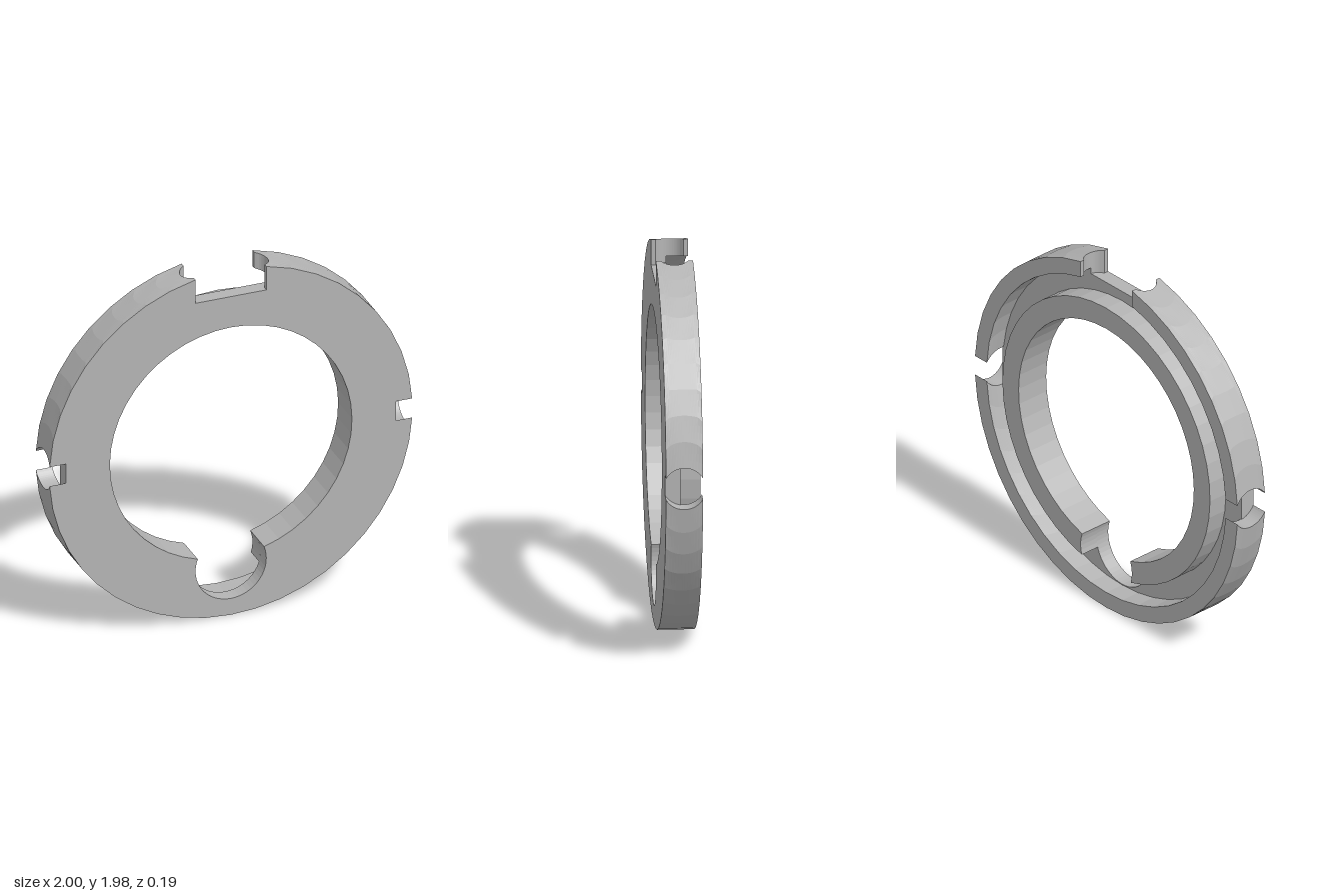
import * as THREE from 'three';

const R = 1, GROOVE_OUT = 0.91, GROOVE_IN = 0.79, BORE = 0.667;
const BACK = -0.095, FLOOR = 0.015, FRONT = 0.095;
const POCKET_Y = -0.71, POCKET_R = 0.195; // round pocket below the bore

// Half height of the drilled side notch and half width of the scalloped top notch at depth z
const sideHalf = z => Math.sqrt(0.11 ** 2 - z * z);
const topHalf = z => Math.max(0.195, 0.165 + Math.sqrt(Math.max(0, 0.075 ** 2 - z * z)));

// Points along an arc, centred on x = 0
function arc(r, a0, a1, n, cy = 0) {
  const pts = [];
  for (let i = 0; i <= n; i++) {
    const a = a0 + (a1 - a0) * i / n;
    pts.push(new THREE.Vector2(r * Math.cos(a), cy + r * Math.sin(a)));
  }
  return pts;
}
const mirrorX = pts => pts.map(p => new THREE.Vector2(-p.x, p.y)).reverse();

// Where a circle about the centre meets the pocket: angles on both circles
function meet(r) {
  const y = (POCKET_R ** 2 - r * r - POCKET_Y ** 2) / (-2 * POCKET_Y);
  const x = Math.sqrt(r * r - y * y);
  return { ring: Math.atan2(y, x), pocket: Math.atan2(y - POCKET_Y, x) };
}

// Solid whose outline may change with z; the outer loop is counterclockwise, the hole clockwise
function loft(outline, hole, z0, z1, steps, frontCap) {
  const pos = [];
  const tri = (...ps) => ps.forEach(([p, z]) => pos.push(p.x, p.y, z));
  for (const loop of hole ? [outline, hole] : [outline]) {
    for (let k = 0; k < steps; k++) {
      const za = z0 + (z1 - z0) * k / steps, zb = z0 + (z1 - z0) * (k + 1) / steps;
      const A = loop(za), B = loop(zb);
      A.forEach((p, i) => {
        const j = (i + 1) % A.length;
        tri([p, za], [A[j], za], [B[j], zb]);
        tri([p, za], [B[j], zb], [B[i], zb]);
      });
    }
  }
  const cap = (z, front) => {
    const o = outline(z), h = hole ? [hole(z)] : [];
    const all = [...o, ...h.flat()];
    for (const [a, b, c] of THREE.ShapeUtils.triangulateShape(o, h)) {
      const A = all[a], B = all[b], C = all[c];
      const ccw = (B.x - A.x) * (C.y - A.y) - (B.y - A.y) * (C.x - A.x) > 0;
      if (ccw === front) tri([A, z], [B, z], [C, z]);
      else tri([A, z], [C, z], [B, z]);
    }
  };
  cap(z0, false);
  if (frontCap) cap(z1, true);
  const g = new THREE.BufferGeometry();
  g.setAttribute('position', new THREE.Float32BufferAttribute(pos, 3));
  g.computeVertexNormals();
  return g;
}

export function createModel() {
  const grey = new THREE.MeshStandardMaterial({ color: 0xb4b4b4 });
  grey.name = 'grey metal';
  const group = new THREE.Group();
  group.name = 'notchedRing';
  const add = (name, geometry) => {
    const m = new THREE.Mesh(geometry, grey);
    m.name = name;
    m.position.y = 1;
    group.add(m);
  };
  const V = (x, y) => new THREE.Vector2(x, y);
  const down = -Math.PI / 2;

  // Front plate: disc with top and side notches and a keyhole opening
  const plateOutline = z => {
    const h = sideHalf(z), w = topHalf(z), a = Math.asin(h);
    const right = [
      ...arc(R, down, -a, 11), V(0.91, -h), V(0.91, h),
      ...arc(R, a, Math.acos(w), 9), V(w, 0.845),
    ];
    return [...right, ...mirrorX(right).slice(0, -1)];
  };
  const bore = meet(BORE), wall = meet(GROOVE_IN);
  const keyhole = () => [
    ...arc(BORE, bore.ring, Math.PI - bore.ring, 44),
    ...arc(POCKET_R, Math.PI - bore.pocket, 2 * Math.PI + bore.pocket, 32, POCKET_Y).slice(1, -1),
  ].reverse();
  add('frontPlate', loft(plateOutline, keyhole, FLOOR, FRONT, 10, true));

  // Inner flange around the bore, open at the pocket
  const innerOutline = () => [
    ...arc(GROOVE_IN, wall.ring, Math.PI - wall.ring, 44),
    ...arc(POCKET_R, Math.PI - wall.pocket, Math.PI - bore.pocket, 5, POCKET_Y).slice(1, -1),
    ...arc(BORE, Math.PI - bore.ring, bore.ring, 44),
    ...arc(POCKET_R, bore.pocket, wall.pocket, 5, POCKET_Y).slice(1, -1),
  ];
  add('innerFlange', loft(innerOutline, null, BACK, FLOOR, 1, false));

  // Outer flange: two upper arcs and one lower arc between the notches
  const upper = z => {
    const h = sideHalf(z), w = topHalf(z);
    return [
      ...arc(R, Math.asin(h), Math.acos(w), 9),
      ...arc(GROOVE_OUT, Math.acos(w / GROOVE_OUT), Math.asin(h / GROOVE_OUT), 9),
    ];
  };
  add('leftUpperFlange', loft(upper, null, BACK, FLOOR, 14, false));
  add('rightUpperFlange', loft(z => mirrorX(upper(z)), null, BACK, FLOOR, 14, false));
  const lower = z => {
    const a = Math.asin(sideHalf(z)), b = Math.asin(sideHalf(z) / GROOVE_OUT);
    return [...arc(R, Math.PI + a, 2 * Math.PI - a, 22), ...arc(GROOVE_OUT, 2 * Math.PI - b, Math.PI + b, 22)];
  };
  add('lowerFlange', loft(lower, null, BACK, FLOOR, 14, false));

  return group;
}
